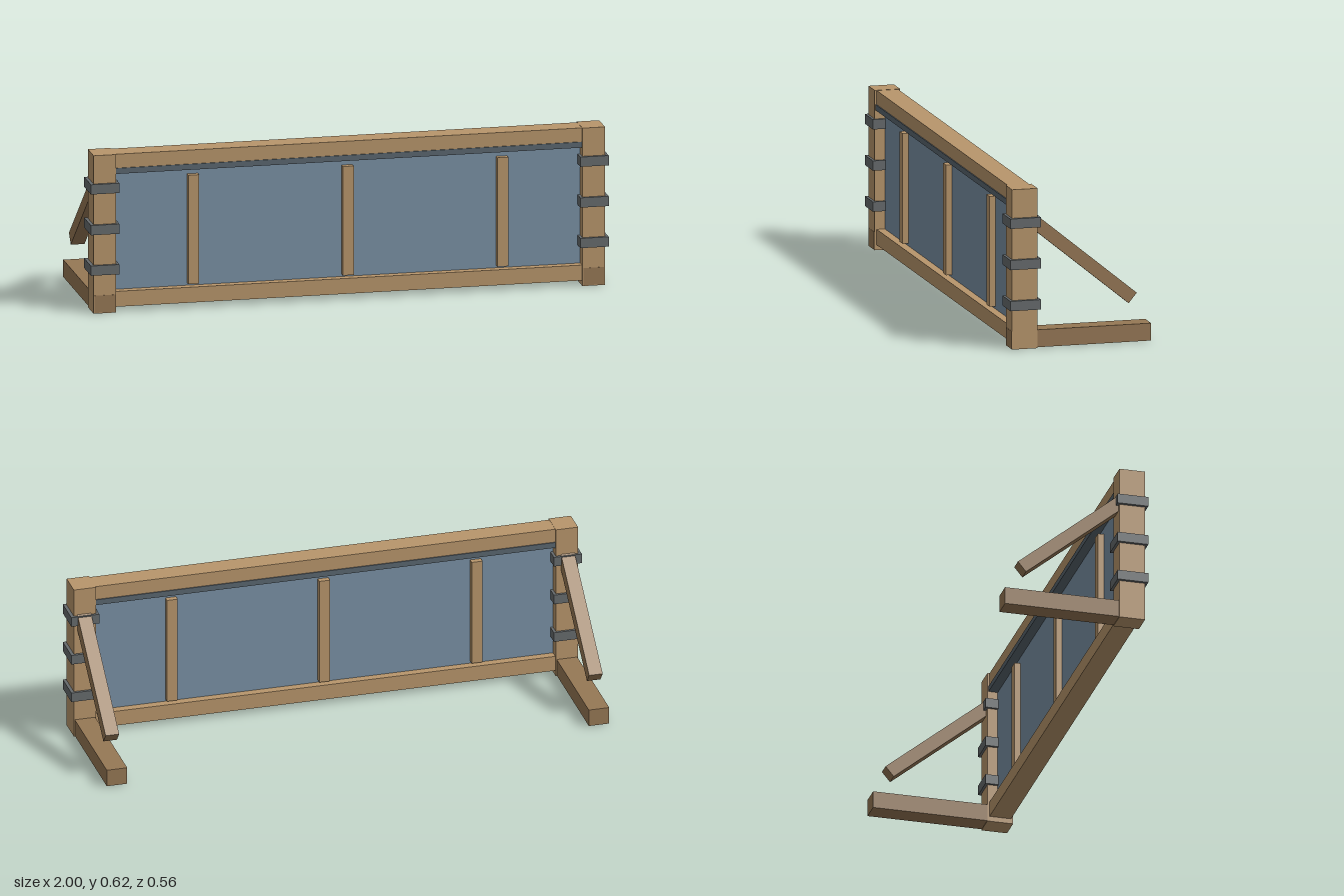
import * as THREE from 'three';

const mat = (color) => new THREE.MeshStandardMaterial({ color });

export function createModel() {
  const group = new THREE.Group();
  const wood = mat(0xb8966c), darkWood = mat(0x967855);
  const metal = mat(0x666b6d), trim = mat(0x5a666f), glass = mat(0x7a91a5);
  const midZ = 0.218; // centre plane of the frame

  function box(name, material, w, h, d, x, y, z) {
    const mesh = new THREE.Mesh(new THREE.BoxGeometry(w, h, d), material);
    mesh.name = name;
    mesh.position.set(x, y, z);
    group.add(mesh);
    return mesh;
  }

  // Long horizontal frame between the posts
  box('topRail', wood, 1.82, 0.055, 0.084, 0, 0.5875, midZ);
  box('topTrim', trim, 1.81, 0.022, 0.092, 0, 0.55, midZ);
  box('bottomRail', wood, 1.82, 0.06, 0.084, 0, 0.05, midZ);
  box('panel', glass, 1.82, 0.475, 0.02, 0, 0.31, midZ);

  // Upright slats standing proud of both panel faces
  for (const x of [-0.597, 0, 0.597]) {
    box('slat', wood, 0.042, 0.425, 0.066, x, 0.302, midZ);
  }

  for (const side of [-1, 1]) {
    const x = side * 0.944;
    box('post', wood, 0.087, 0.616, 0.1, x, 0.308, midZ);

    // Straps wrapped round the post
    for (const y of [0.17, 0.328, 0.487]) {
      box('strap', metal, 0.11, 0.038, 0.12, side * 0.945, y, midZ);
    }

    // Foot running backwards from the front of the post
    box('foot', darkWood, 0.08, 0.067, 0.547, x, 0.0365, -0.0045);

    // Slanted brace, from its free lower end up into the post
    const low = new THREE.Vector3(side * 0.947, 0.169, -0.209);
    const high = new THREE.Vector3(side * 0.947, 0.51, 0.207);
    const brace = box('brace', darkWood, 0.053, 0.05, low.distanceTo(high), 0, 0, 0);
    brace.position.copy(low).lerp(high, 0.5);
    brace.lookAt(high);
  }
  return group;
}
